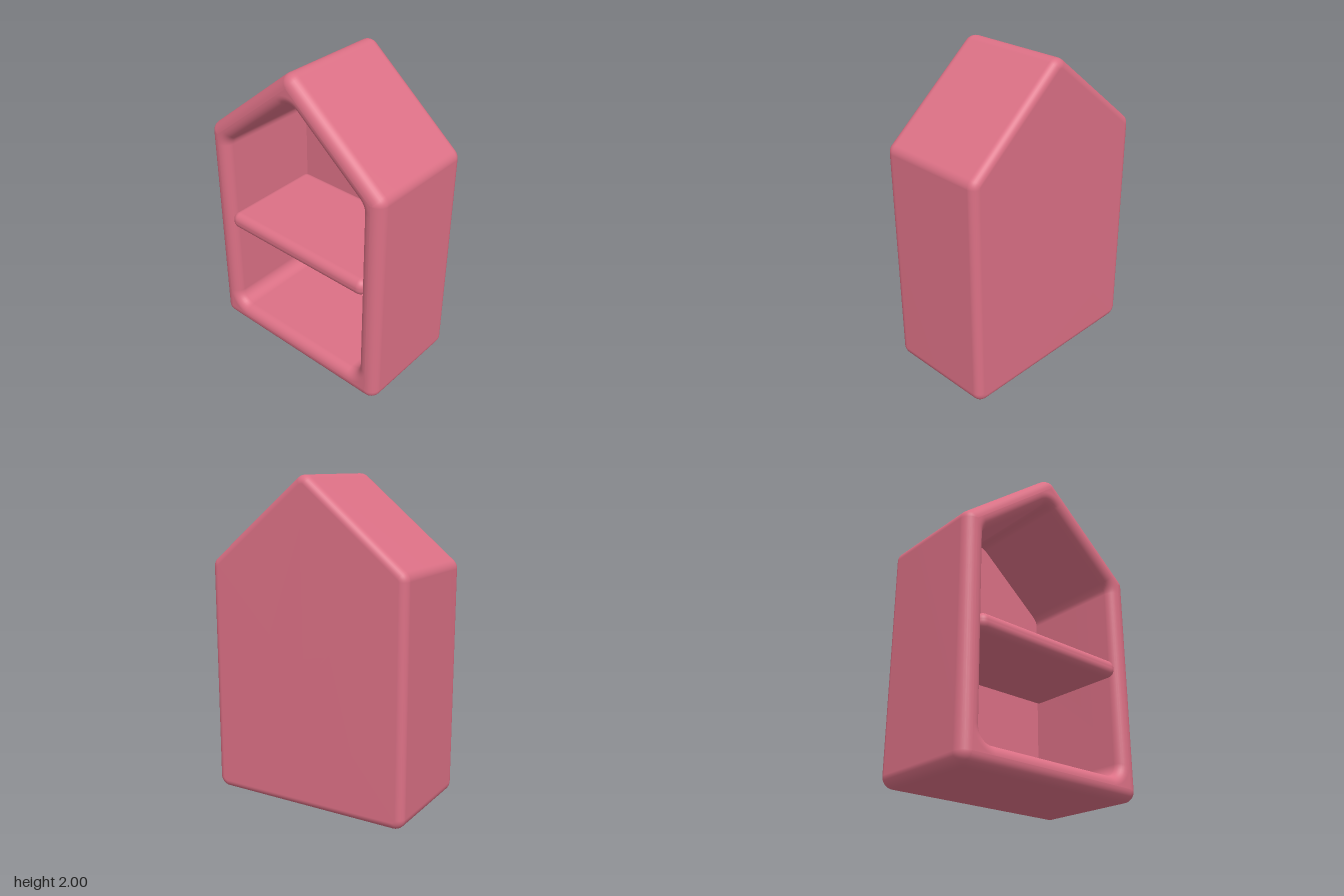
import * as THREE from 'three';
import { RoundedBoxGeometry } from 'three/addons/geometries/RoundedBoxGeometry.js';

const HALF_W = 0.667, APEX = 2.02, SLOPE = 0.82, HALF_D = 0.37;
const ROOF = Math.PI / 2 - Math.atan(SLOPE); // direction the right roof faces
const ARC = 8;

// Rounded house outline: inset from the outside, with its corner arcs
// centred on the corners of the outline inset by `core`.
function houseRing(inset, core, z) {
  const r = core - inset, w = HALF_W - core;
  const top = APEX - core * Math.hypot(1, SLOPE), eave = top - SLOPE * w;
  const corners = [
    [w, core, -Math.PI / 2, 0],
    [w, eave, 0, ROOF],
    [0, top, ROOF, Math.PI - ROOF],
    [-w, eave, Math.PI - ROOF, Math.PI],
    [-w, core, Math.PI, Math.PI * 1.5],
  ];
  const points = [];
  for (const [x, y, a0, a1] of corners) {
    for (let k = 0; k <= ARC; k++) {
      const a = a0 + (a1 - a0) * k / ARC;
      points.push([x + r * Math.cos(a), y + r * Math.sin(a), z]);
    }
  }
  return points;
}

const centreRing = (z) => houseRing(0, 0.07, z).map(() => [0, 0.8, z]);

// Joins closed rings into one smooth surface
function loft(rings) {
  const n = rings[0].length, index = [];
  for (let i = 0; i < rings.length - 1; i++) {
    for (let j = 0; j < n; j++) {
      const k = (j + 1) % n;
      const a = i * n + j, b = i * n + k, c = a + n, d = b + n;
      index.push(a, b, d, a, d, c);
    }
  }
  const geometry = new THREE.BufferGeometry();
  geometry.setAttribute('position', new THREE.Float32BufferAttribute(rings.flat(2), 3));
  geometry.setIndex(index);
  geometry.computeVertexNormals();
  return geometry;
}

export function createModel() {
  const group = new THREE.Group();
  const pink = new THREE.MeshStandardMaterial({ color: 0xdb7085 });
  pink.name = 'rose pink';
  const add = (name, geometry) => {
    const mesh = new THREE.Mesh(geometry, pink);
    mesh.name = name;
    group.add(mesh);
    return mesh;
  };

  const STEPS = 8, OUTER = 0.07, BACK = 0.05, LIP = 0.065;
  const WALL = 0.137, HOLE = WALL + 0.085, PANEL_Z = -0.345;
  const rings = [centreRing(-HALF_D)];
  // back edge rounding
  for (let i = 0; i <= STEPS; i++) {
    const t = i / STEPS * Math.PI / 2;
    rings.push(houseRing(BACK * (1 - Math.sin(t)), OUTER, -HALF_D + BACK * (1 - Math.cos(t))));
  }
  // front outer edge rounding
  for (let i = 0; i <= STEPS; i++) {
    const t = i / STEPS * Math.PI / 2;
    rings.push(houseRing(OUTER * (1 - Math.cos(t)), OUTER, HALF_D - OUTER * (1 - Math.sin(t))));
  }
  // front inner lip, then the inside walls
  for (let i = 0; i <= STEPS; i++) {
    const t = i / STEPS * Math.PI / 2;
    rings.push(houseRing(WALL - LIP * (1 - Math.sin(t)), HOLE, HALF_D - LIP * (1 - Math.cos(t))));
  }
  rings.push(houseRing(WALL, HOLE, PANEL_Z));
  add('houseShell', loft(rings));

  // flat panel at the back of the opening
  add('innerBackPanel', loft([houseRing(WALL, HOLE, PANEL_Z), centreRing(PANEL_Z)]));

  // shelf with a rounded front edge, set into the walls
  const shelf = add('shelf', new RoundedBoxGeometry(1.096, 0.11, 0.71, 6, 0.05));
  shelf.position.set(0, 0.825, 0.005);

  return group;
}
